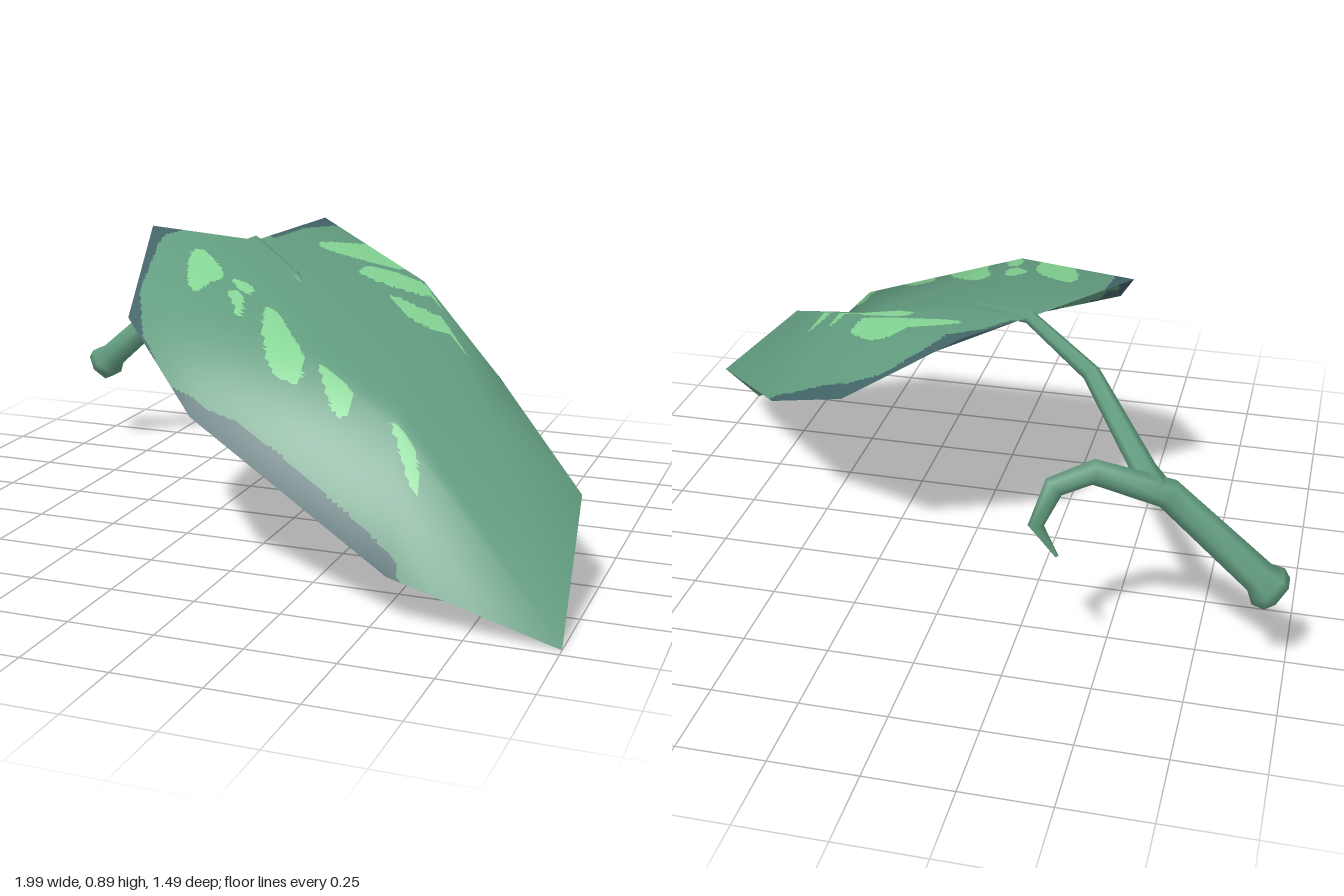
import * as THREE from 'three';

const V = (x, y, z) => new THREE.Vector3(x, y, z);

// Key points of the blade: midrib, then each half's rim and raised ridge
const P = {
  notch: V(-0.2, 0.83, -0.19), mid1: V(0, 0.765, 0), mid2: V(0.43, 0.54, 0.37), tip: V(1, 0, 0.72),
};
const HALVES = [
  { rim: [V(-0.46, 0.89, 0.01), V(-0.37, 0.68, 0.37), V(-0.06, 0.48, 0.63), V(0.54, 0.14, 0.74)],
    ridge: [V(-0.05, 0.77, 0.385), V(0.53, 0.5, 0.62)] },
  { rim: [V(-0.07, 0.87, -0.46), V(0.29, 0.63, -0.43), V(0.6, 0.46, -0.17), V(0.96, 0.29, 0.34)],
    ridge: [V(0.37, 0.75, -0.12), V(0.72, 0.5, 0.41)] },
];

// Smooth outline seen from above; blade outside it is the dark margin
const OUTLINE = [
  [-0.38, -0.1], [-0.4, 0.1], [-0.38, 0.27], [-0.3, 0.42], [-0.16, 0.55], [-0.02, 0.612], [0.2, 0.65],
  [0.45, 0.7], [0.56, 0.725], [0.62, 0.8], [1.1, 0.8], [1.1, 0.2], [0.75, -0.05], [0.6, -0.155],
  [0.5, -0.23], [0.4, -0.3], [0.29, -0.385], [0.17, -0.425], [0, -0.42], [-0.1, -0.35], [-0.155, -0.23], [-0.3, -0.3],
];

// Spots seen from above: x, z, half length, half width, angle in degrees
const SPOTS = [
  [0.16, -0.24, 0.165, 0.058, 10], [0.29, -0.1, 0.14, 0.04, 13], [0.43, 0.045, 0.135, 0.03, 22],
  [-0.2, 0.21, 0.14, 0.05, 63], [-0.055, 0.26, 0.05, 0.026, 50], [-0.03, 0.37, 0.06, 0.02, 60],
  [0.13, 0.44, 0.145, 0.045, 55], [0.33, 0.545, 0.075, 0.03, 45], [0.55, 0.62, 0.055, 0.022, 40],
];

function insideOutline(x, z) {
  let inside = false;
  OUTLINE.forEach(([ax, az], i) => {
    const [bx, bz] = OUTLINE[(i + 1) % OUTLINE.length];
    if ((az > z) !== (bz > z) && x < ax + ((z - az) / (bz - az)) * (bx - ax)) inside = !inside;
  });
  return inside;
}

function inSpot(x, z) {
  return SPOTS.some(([cx, cz, a, b, deg], i) => {
    const t = THREE.MathUtils.degToRad(deg), dx = x - cx, dz = z - cz;
    const u = (dx * Math.cos(t) + dz * Math.sin(t)) / a;
    const v = (dz * Math.cos(t) - dx * Math.sin(t)) / b;
    const wobble = 1 + 0.12 * Math.sin(3 * Math.atan2(v, u) + i * 1.7);
    return Math.hypot(u, v) < wobble;
  });
}

// Coarse leaf faces, all turned to face upward
function leafFaces() {
  const faces = [];
  const add = (a, b, c) => {
    const n = b.clone().sub(a).cross(c.clone().sub(a));
    faces.push(n.y > 0 ? [a, b, c] : [a, c, b]);
  };
  for (const { rim: [a, b, c, d], ridge: [r, s] } of HALVES) {
    add(P.notch, a, r); add(a, b, r); add(b, c, r); add(c, s, r);
    add(c, d, s); add(d, P.tip, s); add(s, P.tip, P.mid2);
    add(r, s, P.mid2); add(r, P.mid2, P.mid1); add(r, P.mid1, P.notch);
  }
  return faces;
}

// Fine grid over every coarse face, sorted into blade, margin and spots
function leafGeometries(steps = 36) {
  const faces = leafFaces(), normals = new Map();
  for (const [a, b, c] of faces) {
    const n = b.clone().sub(a).cross(c.clone().sub(a));
    for (const p of [a, b, c]) normals.set(p, (normals.get(p) || V(0, 0, 0)).add(n));
  }
  normals.forEach((n) => n.normalize());
  const parts = { blade: [[], []], margin: [[], []], spots: [[], []] };

  for (const f of faces) {
    const ns = f.map((p) => normals.get(p));
    const mix = (t, i, j) => V(0, 0, 0)
      .addScaledVector(t[0], 1 - (i + j) / steps)
      .addScaledVector(t[1], i / steps)
      .addScaledVector(t[2], j / steps);
    const emit = (...ij) => {
      const pts = ij.map(([i, j]) => mix(f, i, j));
      const x = (pts[0].x + pts[1].x + pts[2].x) / 3, z = (pts[0].z + pts[1].z + pts[2].z) / 3;
      const [pos, nor] = parts[!insideOutline(x, z) ? 'margin' : inSpot(x, z) ? 'spots' : 'blade'];
      pts.forEach((p, k) => {
        pos.push(p.x, p.y, p.z);
        nor.push(...mix(ns, ...ij[k]).normalize().toArray());
      });
    };
    for (let i = 0; i < steps; i++) for (let j = 0; j < steps - i; j++) {
      emit([i, j], [i + 1, j], [i, j + 1]);
      if (i + j < steps - 1) emit([i + 1, j], [i + 1, j + 1], [i, j + 1]);
    }
  }
  return Object.fromEntries(Object.entries(parts).map(([key, [pos, nor]]) => {
    const g = new THREE.BufferGeometry();
    g.setAttribute('position', new THREE.Float32BufferAttribute(pos, 3));
    g.setAttribute('normal', new THREE.Float32BufferAttribute(nor, 3));
    return [key, g];
  }));
}

// Tapered stalk through rings of [x, y, z, radius], closed at both ends
function stalk(rings, sides = 6) {
  const pts = rings.map(([x, y, z]) => V(x, y, z));
  const pos = [], index = [];
  let side = V(0, 0, 1);
  pts.forEach((p, i) => {
    const dir = pts[Math.min(i + 1, pts.length - 1)].clone().sub(pts[Math.max(i - 1, 0)]).normalize();
    side = side.clone().addScaledVector(dir, -side.dot(dir)).normalize();
    const up = dir.clone().cross(side);
    for (let k = 0; k < sides; k++) {
      const t = (k / sides) * Math.PI * 2, r = rings[i][3];
      const q = p.clone().addScaledVector(side, r * Math.cos(t)).addScaledVector(up, r * Math.sin(t));
      pos.push(q.x, q.y, q.z);
      if (i) {
        const a = (i - 1) * sides + k, b = (i - 1) * sides + ((k + 1) % sides);
        index.push(a, b, b + sides, a, b + sides, a + sides);
      }
    }
  });
  const last = (pts.length - 1) * sides;
  for (let k = 1; k < sides - 1; k++) index.push(0, k + 1, k, last, last + k, last + k + 1);
  const g = new THREE.BufferGeometry();
  g.setAttribute('position', new THREE.Float32BufferAttribute(pos, 3));
  g.setIndex(index);
  g.computeVertexNormals();
  return g;
}

export function createModel() {
  const group = new THREE.Group();
  const material = (name, color, side = THREE.FrontSide) => {
    const m = new THREE.MeshStandardMaterial({ color, side });
    m.name = name;
    return m;
  };
  const green = material('leaf green', 0x629c7f, THREE.DoubleSide);
  const dark = material('margin blue green', 0x436468, THREE.DoubleSide);
  const light = material('spot light green', 0x84d494, THREE.DoubleSide);
  const add = (name, geometry, mat) => {
    const mesh = new THREE.Mesh(geometry, mat);
    mesh.name = name;
    group.add(mesh);
  };

  // Leaf
  const leaf = leafGeometries();
  add('leafBlade', leaf.blade, green);
  add('leafMargin', leaf.margin, dark);
  add('leafSpots', leaf.spots, light);

  // Main stem with a flared foot and a hooked tendril end
  add('stem', stalk([
    [-0.965, 0.27, -0.58, 0.055], [-0.94, 0.29, -0.58, 0.066], [-0.915, 0.315, -0.58, 0.048],
    [-0.66, 0.54, -0.585, 0.042], [-0.47, 0.615, -0.65, 0.034], [-0.375, 0.585, -0.7, 0.03],
    [-0.335, 0.48, -0.73, 0.022], [-0.395, 0.4, -0.74, 0.005],
  ]), green);

  // Leaf stalk, rising from the stem and running out along the midrib
  add('leafStalk', stalk([
    [-0.635, 0.545, -0.6, 0.045], [-0.59, 0.585, -0.555, 0.034], [-0.4, 0.735, -0.315, 0.026],
    [-0.2, 0.825, -0.185, 0.02], [0.0, 0.762, -0.005, 0.016], [0.04, 0.74, 0.025, 0.006],
  ]), green);

  return group;
}
